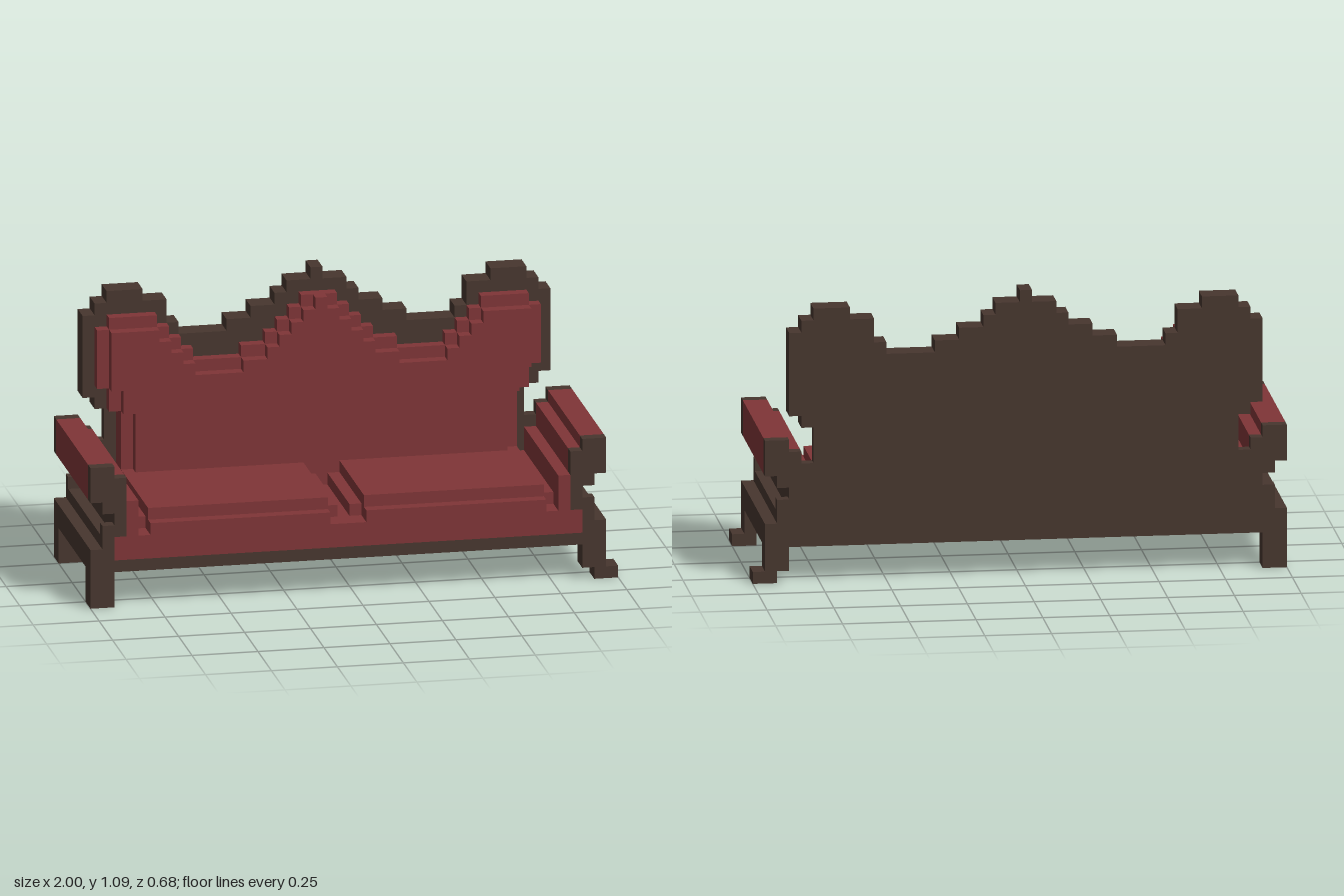
import * as THREE from 'three';

const CELL = 2 / 44; // block size
const AXIS = 43;     // mirror: i -> AXIS - i

export function createModel() {
  const wood = new THREE.MeshStandardMaterial({ color: 0x47362e });
  wood.name = 'dark wood';
  const cloth = new THREE.MeshStandardMaterial({ color: 0x7f3537 });
  cloth.name = 'red upholstery';

  const model = new THREE.Group();
  model.name = 'sofa';

  // Block from cell ranges: x i0..i1, y j0..j1, z k0..k1 (k = 0 at the back)
  function box(name, mat, i0, i1, j0, j1, k0, k1) {
    const g = new THREE.BoxGeometry((i1 - i0) * CELL, (j1 - j0) * CELL, (k1 - k0) * CELL);
    const m = new THREE.Mesh(g, mat);
    m.name = name;
    m.position.set((i0 + i1) / 2 * CELL - 1, (j0 + j1) / 2 * CELL, ((k0 + k1) / 2 - 7.5) * CELL);
    model.add(m);
  }
  function pair(name, mat, i0, i1, ...rest) {
    box('right ' + name, mat, i0, i1, ...rest);
    box('left ' + name, mat, AXIS - i1, AXIS - i0, ...rest);
  }

  // Symmetrical stepped panel: side steps [i, from j], then top steps [from i, height]
  function panel(name, mat, sides, tops, k0, k1) {
    const half = [];
    let prev = null;
    for (const [i, j] of sides) {
      if (prev !== null) half.push([prev, j]);
      half.push([i, j]);
      prev = i;
    }
    let h = null;
    for (const [i, j] of tops) {
      if (h !== null) half.push([i, h]);
      half.push([i, j]);
      h = j;
    }
    const all = half.concat(half.map(([i, j]) => [AXIS - i, j]).reverse());
    const shape = new THREE.Shape(all.map(([i, j]) => new THREE.Vector2(i * CELL - 1, j * CELL)));
    const g = new THREE.ExtrudeGeometry(shape, { depth: (k1 - k0) * CELL, bevelEnabled: false });
    g.translate(0, 0, (k0 - 7.5) * CELL);
    const m = new THREE.Mesh(g, mat);
    m.name = name;
    model.add(m);
  }

  // Base and legs; the feet at +x step outwards
  box('base board', wood, 0, 43, 3, 4, 0, 15);
  for (const [end, k] of [['back', 0], ['front', 13]]) {
    box(`${end} right leg`, wood, 0, 2, 0, 3, k, k + 2);
    box(`${end} left leg`, wood, 41, 43, 1, 3, k, k + 2);
    box(`${end} left foot`, wood, 42, 44, 0, 1, k, k + 2);
  }

  // Arms: rails, side boards, end posts and padding
  pair('lower rail', wood, 0, 2, 4, 5, 0, 15);
  pair('upper rail', wood, 1, 2, 5, 6, 0, 15);
  pair('side board', wood, 2, 3, 4, 9, 0, 14);
  for (const k of [0, 14]) {
    const end = k ? 'front' : 'back';
    pair(end + ' post scroll bottom', wood, 1, 2, 6, 7, k, k + 1);
    pair(end + ' post scroll neck', wood, 1, 2, 8, 9, k, k + 1);
    pair(end + ' post', wood, 2, 3, 6, 11, k, k + 1);
    pair(end + ' post head', wood, 0, 2, 9, 12, k, k + 1);
  }
  pair('arm pad', cloth, 0, 2, 9, 12, 1, 14);
  pair('arm pad step', cloth, 2, 3, 9, 11, 1, 14);
  pair('arm inner pad', cloth, 3, 4, 6, 9, 1, 15);

  // Seat and cushions
  box('seat', cloth, 3, 40, 4, 6, 1, 15);
  pair('seat front corner', cloth, 2, 3, 4, 6, 14, 15);
  pair('cushion outer rim', cloth, 4, 5, 6, 7, 1, 13);
  pair('cushion inner rim', cloth, 20, 21, 6, 7, 1, 13);
  pair('cushion front', cloth, 5, 20, 6, 7, 1, 15);
  pair('cushion top', cloth, 5, 20, 7, 8, 1, 14);

  // Back: wooden boards, crest frame and layered padding
  box('lower back board', wood, 3, 40, 4, 10, 0, 1);
  box('middle back board', wood, 4, 39, 10, 13, 0, 1);
  box('back padding base', cloth, 5, 38, 6, 13, 1, 2);
  panel('crest frame', wood, [[3, 13], [2, 14]],
    [[2, 21], [3, 22], [4, 23], [7, 22], [9, 20], [10, 19], [14, 20], [16, 21],
      [18, 22], [19, 23], [21, 24]], 0, 2);
  panel('back padding', cloth, [[5, 6], [4, 13], [3, 15]],
    [[3, 20], [4, 21], [8, 20], [9, 19], [10, 18], [11, 17], [15, 18], [17, 19],
      [18, 20], [19, 21], [20, 22]], 2, 3);
  panel('back padding front', cloth, [[6, 6], [5, 13], [4, 15]],
    [[4, 20], [8, 19], [9, 18], [10, 17], [11, 16], [15, 17], [17, 18],
      [18, 19], [19, 20], [20, 21], [21, 22]], 3, 4);

  return model;
}
